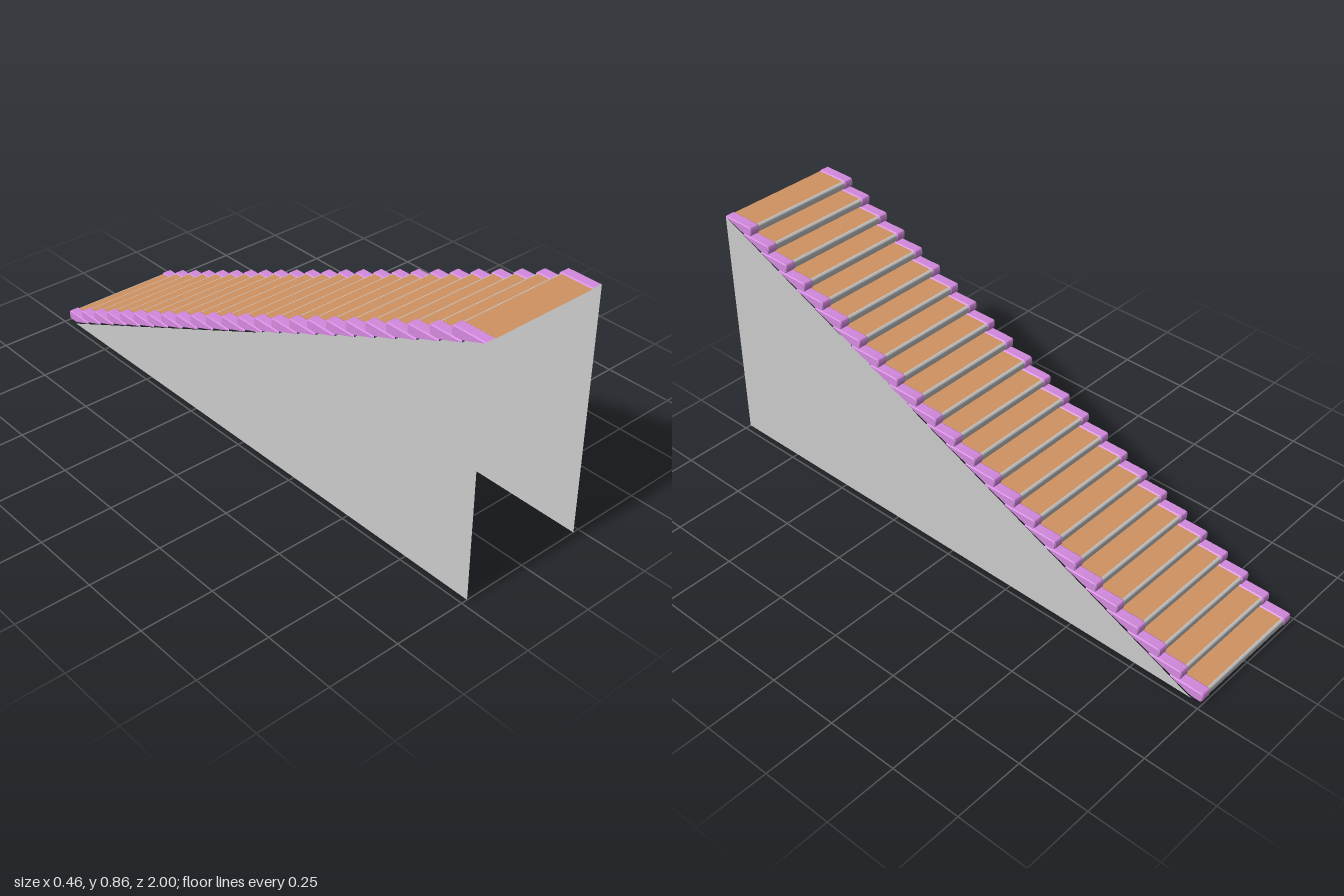
import * as THREE from 'three';
import { toCreasedNormals } from 'three/addons/utils/BufferGeometryUtils.js';

const STEPS = 24, RUN = 0.0817, RISE = 0.0357;
const HALF = 0.228, INNER = 0.19;           // half width, inner edge of the end trims
const TOP = 0.04, LIP = 0.008, BACK = 0.121, RISER = BACK - RUN;

const paint = (color) => new THREE.MeshStandardMaterial({ color, side: THREE.DoubleSide });

// Rounded nosing, as [z, y] from the tread edge round to the riser
function nosing(inset) {
  const r = 0.008, top = TOP - inset, pts = [];
  for (let i = 0; i <= 4; i++) {
    const a = (i / 4) * Math.PI / 2;
    pts.push([inset + r - r * Math.sin(a), top - r + r * Math.cos(a)]);
  }
  for (let i = 0; i <= 4; i++) {
    const a = (i / 4) * Math.PI / 2;
    pts.push([inset + r - r * Math.cos(a), LIP + r - r * Math.sin(a)]);
  }
  pts.push([RISER, LIP]);
  return pts;
}
const stepProfile = (inset) => [[BACK, TOP - inset], ...nosing(inset)];

// Open sheet through matching profiles placed along x
function loft(sections) {
  const pos = [], index = [], n = sections[0].pts.length;
  for (const { x, pts } of sections) for (const [z, y] of pts) pos.push(x, y, z);
  for (let s = 0; s < sections.length - 1; s++) {
    for (let i = 0; i < n - 1; i++) {
      const a = s * n + i, b = a + n;
      index.push(a, b, a + 1, b, b + 1, a + 1);
    }
  }
  const geo = new THREE.BufferGeometry();
  geo.setAttribute('position', new THREE.Float32BufferAttribute(pos, 3));
  geo.setIndex(index);
  geo.computeVertexNormals();
  return toCreasedNormals(geo, 0.6);
}

// Flat polygon of [z, y] points standing at the given x
function sidePanel(pts, x) {
  const shape = new THREE.Shape(pts.map(([z, y]) => new THREE.Vector2(-z, y)));
  return new THREE.ShapeGeometry(shape).rotateY(Math.PI / 2).translate(x, 0, 0);
}

export function createModel() {
  const model = new THREE.Group();
  const grey = paint(0xcccccc), brown = paint(0xcf9262);
  const purple = paint(0xd58be0), teal = paint(0x2f5f5f);
  const add = (parent, name, geo, mat) => {
    const mesh = new THREE.Mesh(geo, mat);
    mesh.name = name;
    parent.add(mesh);
    return mesh;
  };

  // Shared step geometries
  const inset = 0.003;
  const across = (pts) => loft([{ x: -INNER, pts }, { x: INNER, pts }]);
  const noseGeo = across(nosing(inset));
  const treadGeo = across([[BACK, TOP - inset], nosing(inset)[0]]);
  const riserGeo = across([[RISER, LIP], [RISER, TOP - RISE - inset]]);
  riserGeo.scale(HALF / INNER, 1, 1);
  const trims = [-1, 1].map((side) => {
    const sections = [[INNER, inset], [INNER + 0.004, 0], [HALF - 0.003, 0], [HALF, inset]]
      .map(([x, o]) => ({ x: side * x, pts: stepProfile(o) }));
    if (side < 0) sections.reverse();
    return {
      name: side > 0 ? 'left' : 'right',
      strip: loft(sections),
      cap: sidePanel(stepProfile(inset), side * HALF),
    };
  });

  // Flight of steps, climbing towards the front
  for (let i = 0; i < STEPS; i++) {
    const step = new THREE.Group();
    step.name = 'step' + (i + 1);
    step.position.set(0, i * RISE, -1 + i * RUN);
    add(step, 'tread', treadGeo, brown);
    add(step, 'nosing', noseGeo, grey);
    add(step, 'riser', riserGeo, teal);
    for (const t of trims) {
      add(step, t.name + 'Trim', t.strip, purple);
      add(step, t.name + 'TrimCap', t.cap, purple);
    }
    model.add(step);
  }

  // Thin triangular side walls under the flight
  const wall = [[-1 + RISER, 0], [1, 0], [1, TOP + (STEPS - 1) * RISE - inset]];
  add(model, 'leftWall', sidePanel(wall, HALF), grey);
  add(model, 'rightWall', sidePanel(wall, -HALF), grey);
  return model;
}
